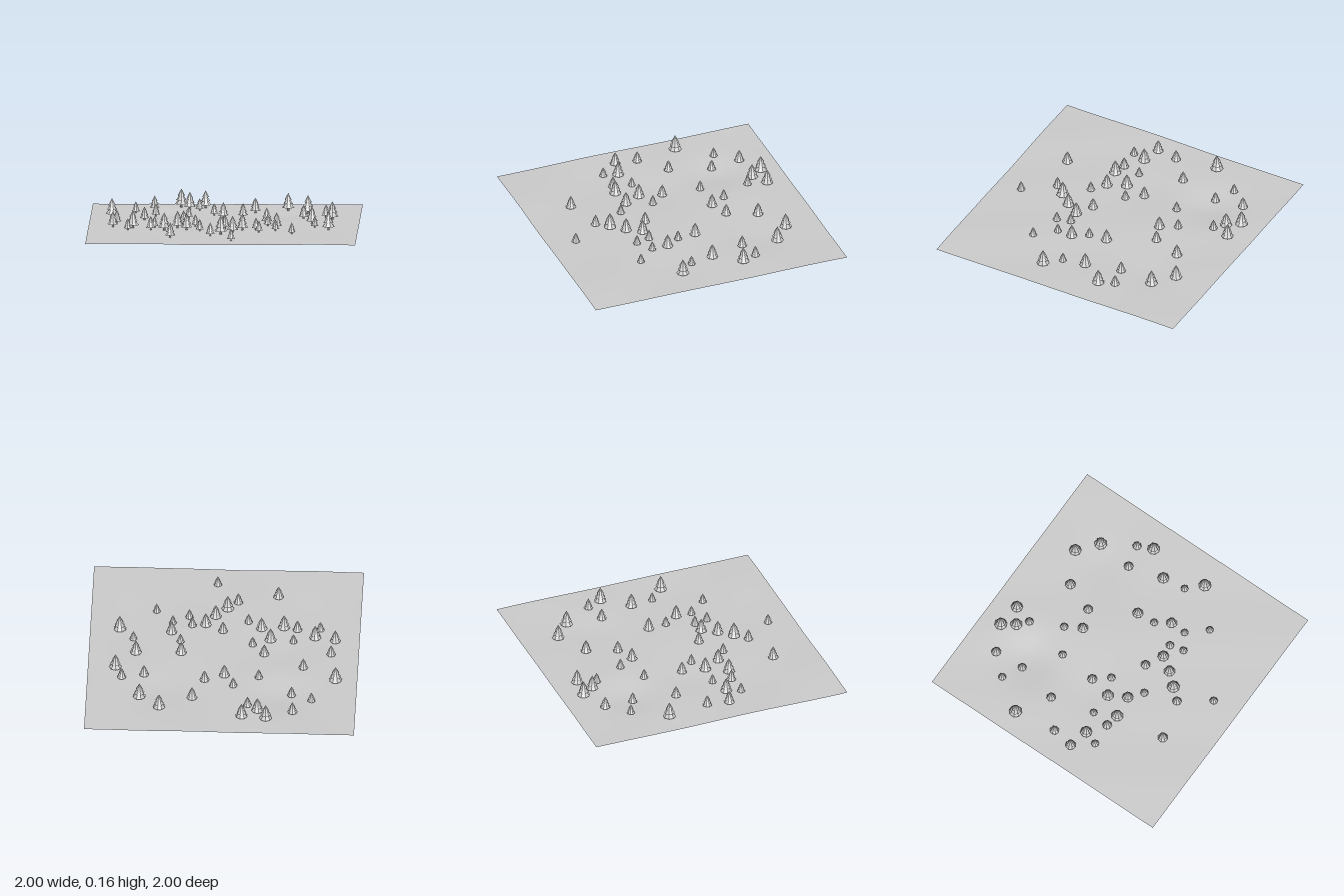
import * as THREE from 'three';
import { mergeGeometries } from 'three/addons/utils/BufferGeometryUtils.js';

// x, z and foliage radius of each tree
const TREES = [
  -0.34, -0.84, 0.048, -0.16, -0.82, 0.045, -0.275, -0.745, 0.045, -0.535, -0.745, 0.037,
  -0.2, -0.68, 0.032, -0.67, -0.595, 0.03, -0.52, -0.52, 0.033, 0.455, -0.725, 0.046,
  0.605, -0.6, 0.048, 0.215, -0.6, 0.04, -0.085, -0.445, 0.031, -0.015, -0.325, 0.04,
  0.13, -0.38, 0.036, -0.27, -0.33, 0.031, -0.84, -0.355, 0.049, -0.595, -0.205, 0.035,
  0.58, -0.33, 0.036, 0.745, -0.37, 0.034, 0.795, -0.255, 0.047, 0.65, -0.065, 0.044,
  0.315, -0.06, 0.041, 0.325, 0.08, 0.03, 0.675, 0.11, 0.029, 0.78, 0.22, 0.048,
  -0.795, -0.035, 0.035, -0.3, -0.04, 0.037, -0.21, 0.07, 0.031, -0.82, 0.13, 0.04,
  -0.67, 0.165, 0.045, -0.51, 0.12, 0.029, -0.34, 0.13, 0.044, -0.705, 0.27, 0.03,
  -0.535, 0.26, 0.036, -0.435, 0.28, 0.046, -0.27, 0.26, 0.042, -0.17, 0.34, 0.031,
  0.015, 0.22, 0.036, 0.145, 0.29, 0.043, 0.245, 0.28, 0.032, 0.395, 0.19, 0.041,
  0.39, 0.31, 0.029, 0.27, 0.385, 0.03, 0.075, 0.395, 0.043, -0.01, 0.49, 0.048,
  -0.085, 0.575, 0.035, -0.38, 0.655, 0.039, 0.515, 0.45, 0.029, 0.075, 0.795, 0.031,
];

// Gentle rolling ground with a few shallow hollows
function groundHeight(x, z) {
  const hollow = (cx, cz, r, d) => d * Math.exp(-((x - cx) ** 2 + (z - cz) ** 2) / (r * r));
  return 0.029
    + 0.003 * Math.sin(5 * x + 1.2 * z + 0.6) * Math.cos(4 * z - 0.8)
    + 0.0015 * Math.sin(9 * x - 6 * z)
    - hollow(-0.43, -0.53, 0.2, 0.024)
    - hollow(0.5, -0.5, 0.2, 0.011)
    - hollow(-0.4, 0.0, 0.2, 0.009);
}

function makeGround() {
  const geo = new THREE.PlaneGeometry(2, 2, 64, 64).rotateX(-Math.PI / 2);
  const p = geo.attributes.position;
  for (let i = 0; i < p.count; i++) p.setY(i, groundHeight(p.getX(i), p.getZ(i)));
  geo.computeVertexNormals();
  return geo;
}

// Faceted geometry with its base at height y
function faceted(geo, height, y) {
  const flat = geo.translate(0, y + height / 2, 0).toNonIndexed();
  flat.computeVertexNormals();
  return flat;
}

// Three overlapping cone tiers, for a foliage radius of 1
function makeFoliage() {
  const tiers = [[1, 1.3, 0.5], [0.8, 1.15, 1.15], [0.57, 1.1, 1.8]];
  return mergeGeometries(tiers.map(([r, h, y]) => faceted(new THREE.ConeGeometry(r, h, 8), h, y)));
}

export function createModel() {
  const model = new THREE.Group();
  model.name = 'woodland';
  const grey = new THREE.MeshStandardMaterial({ color: 0xcccccc, side: THREE.DoubleSide });
  grey.name = 'light grey';

  const add = (parent, name, geo) => {
    const mesh = new THREE.Mesh(geo, grey);
    mesh.name = name;
    parent.add(mesh);
  };

  add(model, 'ground', makeGround());

  // Trees share two geometries and differ in size
  const foliage = makeFoliage();
  const trunk = faceted(new THREE.CylinderGeometry(0.17, 0.2, 0.75, 8), 0.75, -0.1);
  for (let i = 0; i < TREES.length; i += 3) {
    const [x, z, r] = TREES.slice(i, i + 3);
    const tree = new THREE.Group();
    tree.name = 'tree';
    add(tree, 'trunk', trunk);
    add(tree, 'foliage', foliage);
    tree.position.set(x, groundHeight(x, z), z);
    tree.rotation.y = i * 0.7;
    tree.scale.setScalar(r);
    model.add(tree);
  }
  return model;
}
